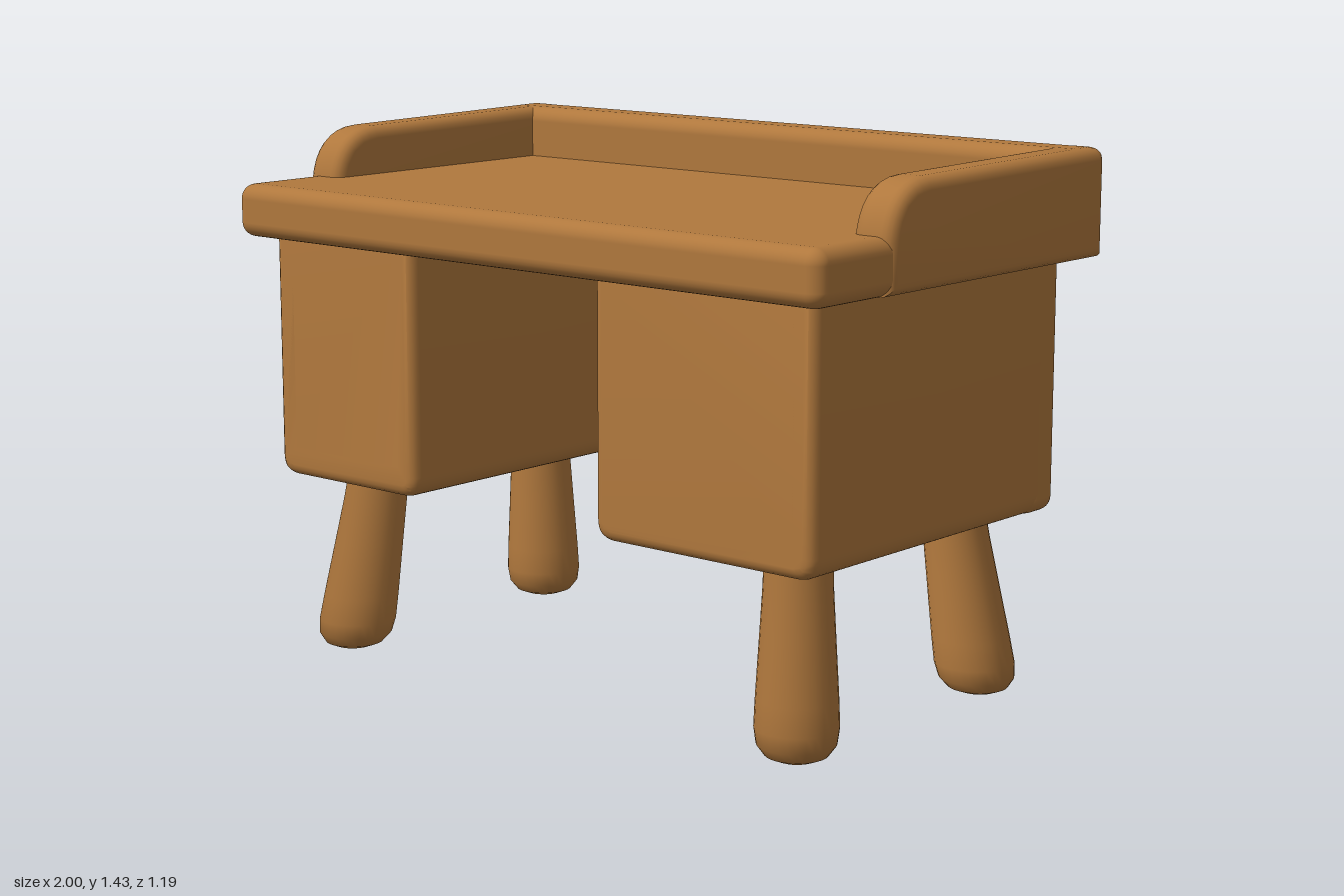
import * as THREE from 'three';
import { toCreasedNormals } from 'three/addons/utils/BufferGeometryUtils.js';
import { RoundedBoxGeometry } from 'three/addons/geometries/RoundedBoxGeometry.js';

const wood = new THREE.MeshStandardMaterial({ color: 0xb0783d });
wood.name = 'warm wood';

export function createModel() {
  const desk = new THREE.Group();
  desk.name = 'desk';

  const add = (name, geometry) => {
    const mesh = new THREE.Mesh(geometry, wood);
    mesh.name = name;
    desk.add(mesh);
    return mesh;
  };

  // Rounded block given by its limits on each axis
  const block = (name, [x0, x1], [y0, y1], [z0, z1], radius) => {
    const mesh = add(name, new RoundedBoxGeometry(x1 - x0, y1 - y0, z1 - z0, 4, radius));
    mesh.position.set((x0 + x1) / 2, (y0 + y1) / 2, (z0 + z1) / 2);
    return mesh;
  };

  // Extrusion with soft edges that stays inside its outline
  const softExtrude = (shape, length, bevel) => toCreasedNormals(new THREE.ExtrudeGeometry(shape, {
    depth: length - 2 * bevel, bevelThickness: bevel, bevelSize: bevel,
    bevelOffset: -bevel, bevelSegments: 4, curveSegments: 8,
  }).translate(0, 0, bevel), 0.7);

  // Tabletop
  block('tabletop', [-0.995, 0.995], [1.15, 1.293], [-0.58, 0.592], 0.04);

  // Raised rim: back rail and two side rails with a curved front end
  block('backRail', [-1, 1], [1.15, 1.435], [-0.6, -0.455], 0.04);
  const railShape = new THREE.Shape();
  railShape.moveTo(-0.6, 1.15);
  railShape.lineTo(0.325, 1.15);
  railShape.lineTo(0.325, 1.28);
  railShape.bezierCurveTo(0.315, 1.37, 0.26, 1.422, 0.17, 1.424);
  railShape.lineTo(-0.56, 1.435);
  railShape.quadraticCurveTo(-0.6, 1.435, -0.6, 1.395);
  railShape.closePath();
  for (const [name, x] of [['leftRail', 0.88], ['rightRail', -1]]) {
    const rail = add(name, softExtrude(railShape, 0.12, 0.032).rotateY(-Math.PI / 2));
    // The turn maps the profile to z and the thickness to -x
    rail.position.x = x + 0.12;
  }

  // Open cabinets, each a rounded frame running from front to back
  const cabinet = (name, [x0, x1], y0, [hx0, hx1], hy0) => {
    const r = 0.055, top = 1.2, holeTop = 1.17;
    const shape = new THREE.Shape();
    shape.moveTo(x0, top);
    shape.lineTo(x0, y0 + r);
    shape.quadraticCurveTo(x0, y0, x0 + r, y0);
    shape.lineTo(x1 - r, y0);
    shape.quadraticCurveTo(x1, y0, x1, y0 + r);
    shape.lineTo(x1, top);
    shape.closePath();
    const hole = new THREE.Path();
    // Opening limits are measured at the rounded lip
    hole.moveTo(hx0, hy0);
    hole.lineTo(hx0, holeTop);
    hole.lineTo(hx1, holeTop);
    hole.lineTo(hx1, hy0);
    hole.closePath();
    shape.holes.push(hole);
    add(name, softExtrude(shape, 1.0, 0.03)).position.z = -0.49;
  };
  cabinet('rightCabinet', [-0.935, -0.41], 0.49, [-0.835, -0.5], 0.6);
  cabinet('leftCabinet', [0.23, 0.92], 0.485, [0.315, 0.83], 0.55);
  block('cabinetShelf', [0.3, 0.85], [0.825, 0.86], [-0.44, 0.485], 0.012);

  // Back: panel, corner posts and horizontal planks
  block('backPanel', [-0.9, 0.89], [0.51, 1.19], [-0.5, -0.4], 0.03);
  block('rightBackPost', [-0.935, -0.86], [0.49, 1.19], [-0.53, -0.4], 0.035);
  block('leftBackPost', [0.82, 0.92], [0.485, 1.19], [-0.53, -0.4], 0.04);
  block('backBottomRail', [-0.9, 0.89], [0.5, 0.59], [-0.52, -0.42], 0.03);
  const planks = 8, plankHeight = 0.07;
  for (let i = 0; i < planks; i++) {
    const y = 0.588 + i * plankHeight;
    block('backPlank', [-0.87, 0.83], [y, y + plankHeight - 0.003], [-0.515, -0.47], 0.01);
  }

  // Splayed round legs, thicker toward the foot
  const legProfile = [
    [0, 0], [0.05, 0.002], [0.08, 0.014], [0.1, 0.04], [0.106, 0.08],
    [0.103, 0.15], [0.094, 0.3], [0.087, 0.42], [0.084, 0.54], [0, 0.54],
  ].map(([r, y]) => new THREE.Vector2(r, y));
  for (const sx of [-1, 1]) {
    for (const sz of [-1, 1]) {
      const geometry = toCreasedNormals(new THREE.LatheGeometry(legProfile, 28), 0.8);
      // Shear the leg inward as it rises
      const p = geometry.attributes.position;
      for (let i = 0; i < p.count; i++) {
        const y = p.getY(i);
        p.setX(i, p.getX(i) + sx * (0.785 - 0.1 * y));
        p.setZ(i, p.getZ(i) + sz * (0.388 - 0.13 * y));
      }
      add((sz > 0 ? 'front' : 'back') + (sx > 0 ? 'Left' : 'Right') + 'Leg', geometry);
    }
  }

  return desk;
}
